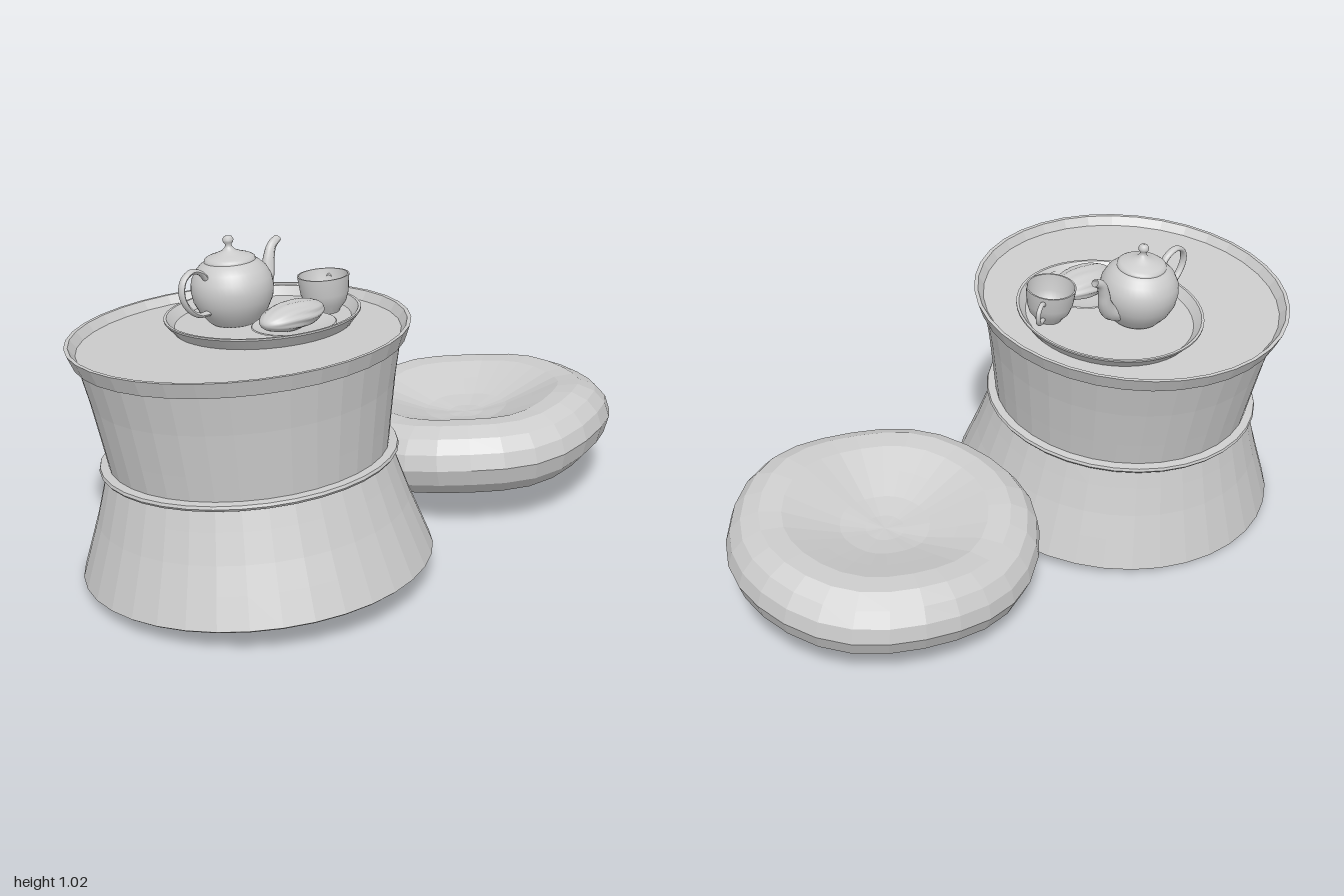
import * as THREE from 'three';
import { toCreasedNormals } from 'three/addons/utils/BufferGeometryUtils.js';

const smooth = new THREE.MeshStandardMaterial({ color: 0xcccccc, side: THREE.DoubleSide });
const faceted = new THREE.MeshStandardMaterial({ color: 0xcccccc, side: THREE.DoubleSide, flatShading: true });

function part(name, geometry, material, parent) {
  const mesh = new THREE.Mesh(geometry, material);
  mesh.name = name;
  parent.add(mesh);
  return mesh;
}

function group(name, parent, x, y, z) {
  const g = new THREE.Group();
  g.name = name;
  g.position.set(x, y, z);
  parent.add(g);
  return g;
}

// Profile points are [radius, height], listed from the underside outwards and up.
function lathe(points, segments) {
  return new THREE.LatheGeometry(points.map(([r, y]) => new THREE.Vector2(r, y)), segments);
}

// Tube along a curve, its radius running from r0 to r1.
function taperedTube(points, r0, r1, rings = 24, sides = 12) {
  const curve = new THREE.CatmullRomCurve3(points.map(([x, y]) => new THREE.Vector3(x, y, 0)));
  const geo = new THREE.TubeGeometry(curve, rings, r0, sides);
  const pos = geo.attributes.position, v = new THREE.Vector3();
  for (let i = 0; i < pos.count; i++) {
    const t = Math.floor(i / (sides + 1)) / rings;
    const c = curve.getPointAt(t);
    v.fromBufferAttribute(pos, i).sub(c).multiplyScalar(1 + t * (r1 / r0 - 1)).add(c);
    pos.setXYZ(i, v.x, v.y, v.z);
  }
  geo.computeVertexNormals();
  return geo;
}

function buildTable(parent) {
  part('tableBase', lathe([[0, 0], [0.53, 0], [0.538, 0.006], [0.505, 0.1], [0.477, 0.18], [0.45, 0.27], [0.43, 0.34]], 36), faceted, parent);
  part('waistBand', lathe([[0.42, 0.332], [0.447, 0.332], [0.453, 0.34], [0.45, 0.349], [0.42, 0.352]], 36), faceted, parent);
  part('tableBody', lathe([[0.423, 0.345], [0.436, 0.43], [0.457, 0.56], [0.482, 0.682]], 36), faceted, parent);
  part('tableTop', lathe([[0.47, 0.682], [0.495, 0.682], [0.514, 0.73], [0.502, 0.73], [0.483, 0.703], [0, 0.703]], 36), faceted, parent);
}

function buildTeapot(parent) {
  const pot = group('teapot', parent, 0.09, 0.714, -0.097);
  part('teapotBody', lathe([[0, 0], [0.068, 0], [0.078, 0.008], [0.104, 0.04], [0.121, 0.075], [0.126, 0.11],
    [0.122, 0.14], [0.108, 0.168], [0.09, 0.185], [0.074, 0.195]], 40), smooth, pot);
  part('teapotLid', lathe([[0.078, 0.193], [0.077, 0.2], [0.068, 0.206], [0.045, 0.214], [0.022, 0.223], [0.012, 0.233],
    [0.009, 0.242], [0.015, 0.249], [0.017, 0.257], [0.012, 0.266], [0, 0.269]], 32), smooth, pot);
  part('teapotSpout', taperedTube([[0.095, 0.06], [0.135, 0.08], [0.158, 0.115], [0.17, 0.16], [0.187, 0.195], [0.217, 0.212]], 0.03, 0.012), smooth, pot);
  // Flat strap handle
  const handle = part('teapotHandle', taperedTube([[-0.1, 0.15], [-0.125, 0.182], [-0.165, 0.195], [-0.2, 0.175],
    [-0.21, 0.135], [-0.19, 0.09], [-0.15, 0.06], [-0.105, 0.055]], 0.008, 0.008, 32), smooth, pot);
  handle.scale.z = 1.5;
}

function buildCup(parent) {
  const cup = group('cup', parent, 0.306, 0.714, 0.08);
  cup.rotation.y = 0.48;
  part('cupBowl', toCreasedNormals(lathe([[0, 0], [0.042, 0], [0.046, 0.008], [0.064, 0.03], [0.074, 0.06], [0.08, 0.115],
    [0.075, 0.115], [0.068, 0.06], [0.056, 0.03], [0.035, 0.014], [0, 0.012]], 32), 0.8), smooth, cup);
  part('cupHandle', taperedTube([[0.07, 0.088], [0.095, 0.102], [0.122, 0.092], [0.126, 0.065], [0.105, 0.038], [0.062, 0.03]], 0.008, 0.007), smooth, cup);
}

function buildPastry(parent) {
  const dish = group('pastryDish', parent, 0.113, 0.714, 0.122);
  part('plate', toCreasedNormals(lathe([[0, 0], [0.08, 0], [0.128, 0.016], [0.125, 0.019], [0.08, 0.006], [0, 0.006]], 36), 0.7), smooth, dish);
  // Loaf with lengthwise ridges that wander slightly
  const geo = new THREE.SphereGeometry(1, 48, 32);
  geo.rotateZ(Math.PI / 2);
  const pos = geo.attributes.position;
  for (let i = 0; i < pos.count; i++) {
    const x = pos.getX(i), y = pos.getY(i), z = pos.getZ(i);
    const k = 1 + 0.05 * Math.cos(Math.atan2(y, z) * 10 + 1.5 * Math.sin(x * 3)) * (1 - x * x);
    pos.setXYZ(i, x * 0.123, y * k * 0.04, z * k * 0.07);
  }
  geo.computeVertexNormals();
  part('pastry', geo, smooth, dish).position.set(0, 0.043, -0.005);
}

function buildCushion(parent) {
  const cushion = group('cushion', parent, 0.497, 0.212, 0.092);
  cushion.rotation.x = -0.11;
  const geo = lathe([[0, -0.065], [0.12, -0.068], [0.22, -0.085], [0.29, -0.113], [0.36, -0.118], [0.425, -0.098], [0.47, -0.055],
    [0.49, 0], [0.478, 0.05], [0.445, 0.092], [0.39, 0.118], [0.32, 0.115], [0.23, 0.082], [0.14, 0.05], [0.06, 0.036], [0, 0.034]], 28);
  // Gentle sag so that the padding looks soft
  const pos = geo.attributes.position;
  for (let i = 0; i < pos.count; i++) {
    const x = pos.getX(i), y = pos.getY(i), z = pos.getZ(i);
    const r = Math.hypot(x, z), a = Math.atan2(x, z);
    const sag = 0.016 * r * (Math.sin(3 * a + 0.6) + Math.sin(5 * a));
    pos.setXYZ(i, x * 1.015, y + sag, z * 0.985);
  }
  part('cushionPad', geo, faceted, cushion);
}

export function createModel() {
  const model = new THREE.Group();
  model.name = 'teaTableWithCushion';

  // Table and tea set lean back together
  const table = group('table', model, -0.463, 0.052, 0.0025);
  table.rotation.x = -0.09;
  buildTable(table);

  const tray = part('tray', toCreasedNormals(lathe([[0, 0], [0.265, 0], [0.292, 0.034], [0.292, 0.039], [0.284, 0.039],
    [0.262, 0.011], [0, 0.011]], 48), 0.6), smooth, table);
  tray.position.set(0.145, 0.703, -0.035);
  tray.scale.z = 1.05;

  buildTeapot(table);
  buildCup(table);
  buildPastry(table);
  buildCushion(model);
  return model;
}
